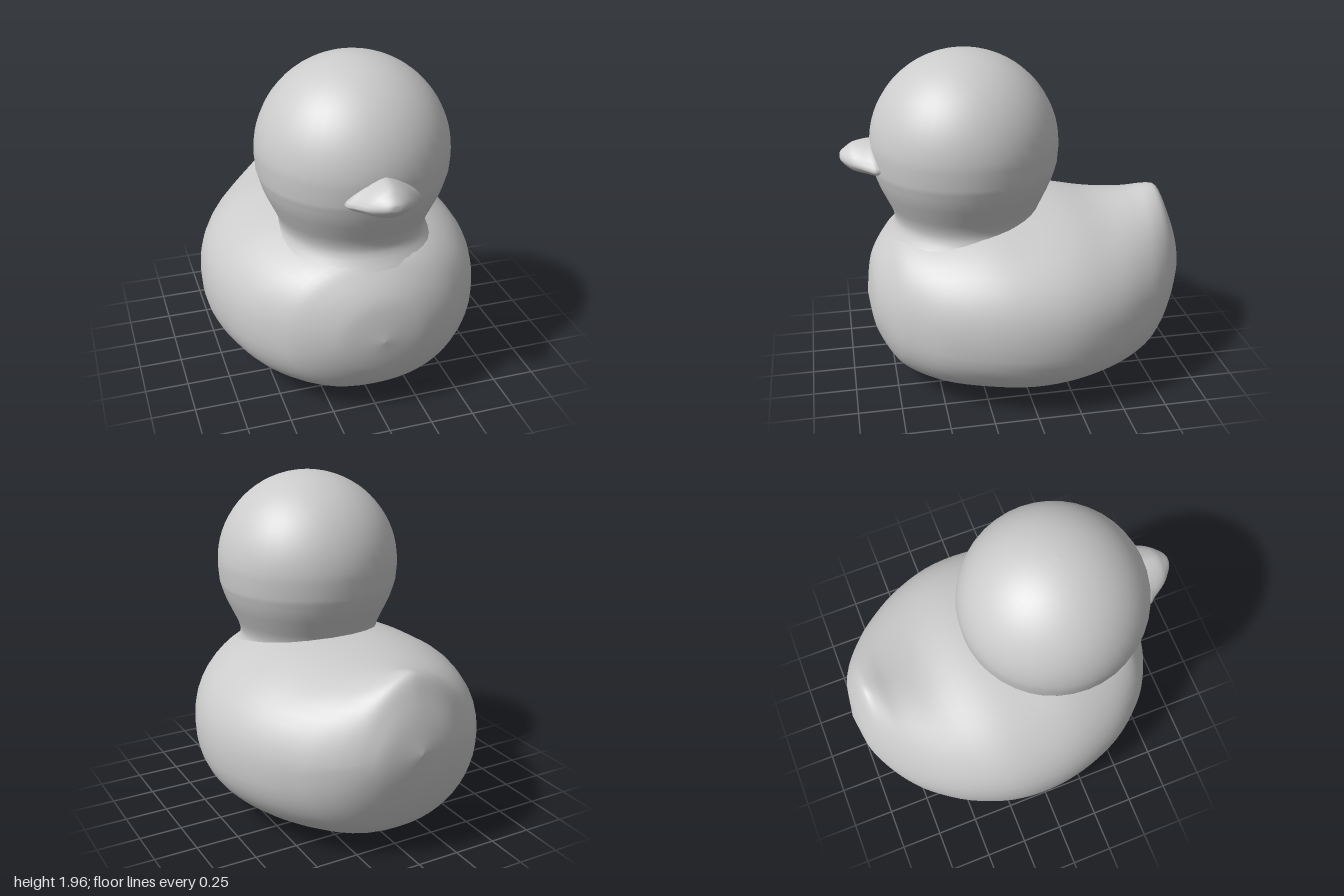
import * as THREE from 'three';

const material = new THREE.MeshStandardMaterial({ color: 0xcccccc, side: THREE.DoubleSide });

// Lofts rounded sections from front to back.
// Section: [z, bottom, top, half width, height of widest point, upper roundness, lower roundness]
function loft(sections, steps, sides) {
  const spline = (i, j, k) => new THREE.CatmullRomCurve3(
    sections.map(s => new THREE.Vector3(s[i], s[j], s[k])), false, 'catmullrom', 0.5);
  const heights = spline(0, 1, 2), widths = spline(3, 4, 5), lower = spline(3, 4, 6);
  const positions = [], index = [];
  const power = (v, p) => Math.sign(v) * Math.abs(v) ** (2 / p);
  for (let i = 0; i <= steps; i++) {
    const t = i / steps;
    const { x: z, y: bottom, z: top } = heights.getPoint(t);
    const { x: width, y: mid, z: upperPower } = widths.getPoint(t);
    const lowerPower = lower.getPoint(t).z;
    for (let j = 0; j < sides; j++) {
      const a = j / sides * Math.PI * 2, s = Math.sin(a);
      const p = s > 0 ? upperPower : lowerPower;
      positions.push(
        Math.max(width, 0) * power(Math.cos(a), p),
        mid + power(s, p) * (s > 0 ? top - mid : mid - bottom),
        z);
      if (i < steps) {
        const n = (j + 1) % sides, r = i * sides, q = r + sides;
        index.push(r + j, q + j, r + n, r + n, q + j, q + n);
      }
    }
  }
  const geometry = new THREE.BufferGeometry();
  geometry.setAttribute('position', new THREE.Float32BufferAttribute(positions, 3));
  geometry.setIndex(index);
  geometry.computeVertexNormals();
  return geometry;
}

function addPart(group, name, geometry) {
  const mesh = new THREE.Mesh(geometry, material);
  mesh.name = name;
  group.add(mesh);
  return mesh;
}

export function createModel() {
  const duck = new THREE.Group();
  duck.name = 'bathDuck';

  // Plump body with a dished back rising to a peaked tail
  addPart(duck, 'body', loft([
    [0.89, 0.52, 0.52, 0, 0.52, 2, 2],
    [0.87, 0.38, 0.67, 0.18, 0.52, 2, 2],
    [0.84, 0.28, 0.77, 0.29, 0.52, 2, 2],
    [0.77, 0.17, 0.87, 0.43, 0.51, 2.1, 2.2],
    [0.68, 0.10, 0.95, 0.54, 0.5, 2.2, 2.3],
    [0.5, 0.05, 1.0, 0.68, 0.5, 2.2, 2.4],
    [0.25, 0.02, 1.05, 0.78, 0.5, 2.2, 2.4],
    [0, 0, 1.06, 0.82, 0.5, 2.2, 2.4],
    [-0.25, 0.01, 1.06, 0.8, 0.51, 2.2, 2.4],
    [-0.5, 0.04, 1.03, 0.71, 0.53, 2.1, 2.4],
    [-0.7, 0.08, 1.05, 0.58, 0.56, 1.8, 2.3],
    [-0.81, 0.15, 1.08, 0.475, 0.59, 1.6, 2.2],
    [-0.88, 0.25, 1.07, 0.385, 0.61, 1.55, 2.1],
    [-0.93, 0.36, 0.96, 0.3, 0.63, 1.7, 2],
    [-0.97, 0.49, 0.83, 0.2, 0.65, 1.9, 2],
    [-1.0, 0.66, 0.67, 0, 0.665, 2, 2],
  ], 60, 48));

  // Round head tapering into a pinched neck
  const profile = new THREE.SplineCurve([
    [0.47, 0.89], [0.42, 0.97], [0.425, 1.04], [0.46, 1.12], [0.505, 1.22], [0.535, 1.32],
  ].map(p => new THREE.Vector2(...p))).getPoints(14);
  for (let i = 0; i <= 18; i++) {
    const a = i / 18 * Math.PI / 2;
    profile.push(new THREE.Vector2(0.543 * Math.cos(a), 1.42 + 0.543 * Math.sin(a)));
  }
  addPart(duck, 'headAndNeck', new THREE.LatheGeometry(profile, 40)).position.z = 0.29;

  // Short pointed beak with a raised middle
  addPart(duck, 'beak', loft([
    [1.0, 1.385, 1.385, 0, 1.38, 2, 2],
    [0.995, 1.36, 1.41, 0.04, 1.38, 1.8, 2],
    [0.96, 1.325, 1.44, 0.09, 1.37, 1.6, 1.8],
    [0.92, 1.3, 1.465, 0.13, 1.36, 1.5, 1.7],
    [0.85, 1.285, 1.48, 0.175, 1.345, 1.4, 1.6],
    [0.8, 1.28, 1.48, 0.205, 1.34, 1.35, 1.6],
    [0.7, 1.3, 1.46, 0.17, 1.35, 1.4, 1.6],
  ], 24, 24));

  return duck;
}
